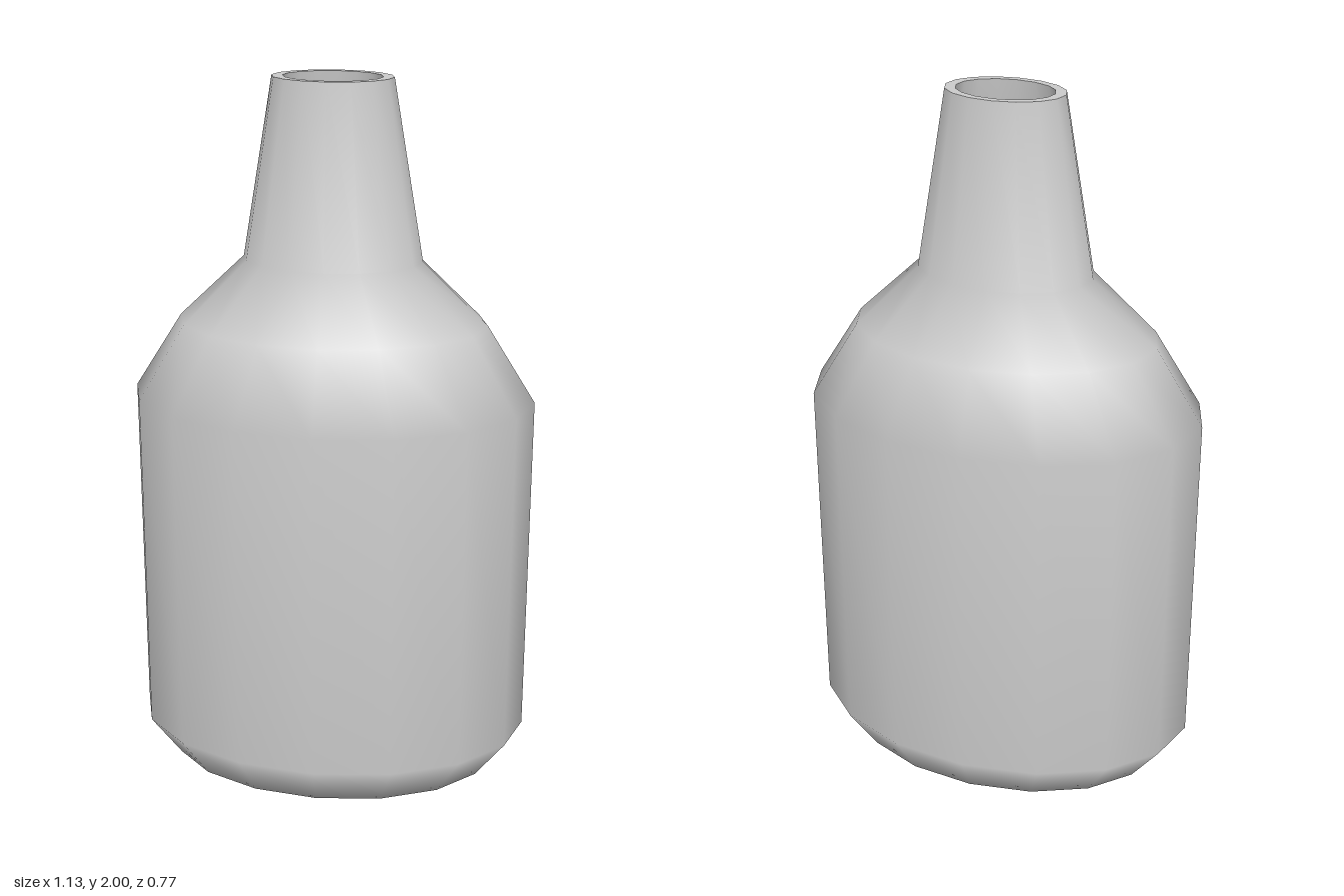
import * as THREE from 'three';

const SIDES = 16;
const DEPTH = 0.677; // oval section: depth relative to width

// Revolve a [radius, height] profile and flatten it into an oval
function ovalLathe(name, profile, material) {
  const points = profile.map(([r, y]) => new THREE.Vector2(r, y));
  const geometry = new THREE.LatheGeometry(points, SIDES);
  geometry.scale(1, 1, DEPTH);
  const mesh = new THREE.Mesh(geometry, material);
  mesh.name = name;
  return mesh;
}

export function createModel() {
  const group = new THREE.Group();
  group.name = 'bottle';
  const material = new THREE.MeshStandardMaterial({ color: 0xcccccc });

  // Base, chamfer, straight body, rounded shoulder and tapering neck
  group.add(ovalLathe('outerShell', [
    [0, 0], [0.475, 0], [0.565, 0.115], [0.565, 1.115],
    [0.43, 1.33], [0.248, 1.505], [0.165, 2],
  ], material));

  // Flat lip around the mouth
  group.add(ovalLathe('rim', [[0.165, 2], [0.135, 2]], material));

  // Hollow inside, running down from the mouth to the floor
  group.add(ovalLathe('innerWall', [
    [0.135, 2], [0.218, 1.49], [0.405, 1.31],
    [0.535, 1.1], [0.535, 0.125], [0.46, 0.03],
  ], material));
  group.add(ovalLathe('innerFloor', [[0.46, 0.03], [0, 0.03]], material));

  return group;
}
